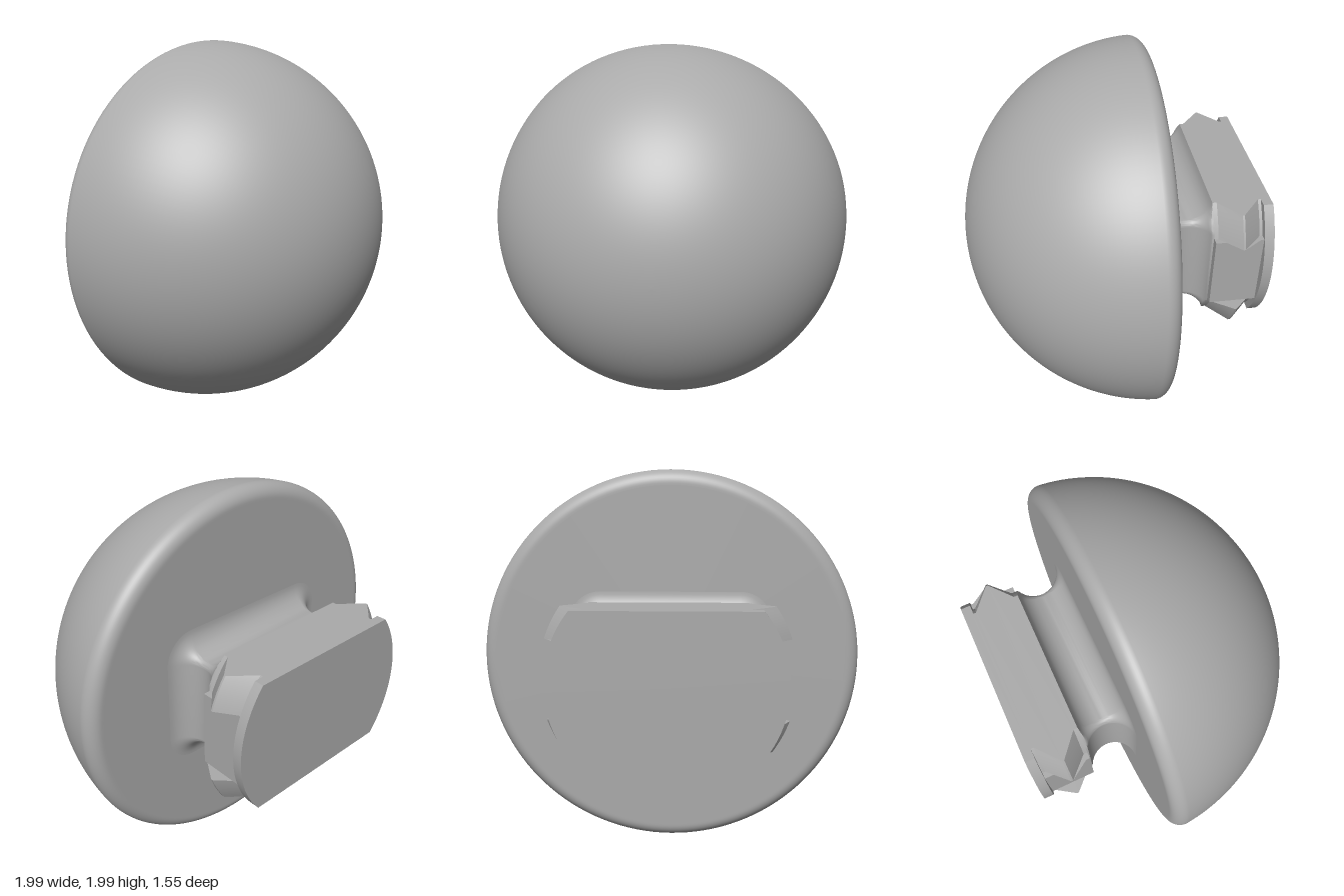
import * as THREE from 'three';
import { toCreasedNormals } from 'three/addons/utils/BufferGeometryUtils.js';

const BACK = -0.225;   // flat back of the dome
const HALF_Y = 0.355;  // half height of the locking block
const CORE = 0.527;    // radius of the block's rounded ends

// Skin a row of equal-length rings running towards -z
function loft(rings, crease) {
  const pos = [], index = [], n = rings[0].length;
  rings.forEach(r => r.forEach(p => pos.push(...p)));
  for (let i = 0; i < rings.length - 1; i++) {
    for (let j = 0; j < n; j++) {
      const k = (j + 1) % n;
      const a = i * n + j, b = i * n + k, c = a + n, d = b + n;
      index.push(a, c, b, b, c, d);
    }
  }
  const g = new THREE.BufferGeometry();
  g.setAttribute('position', new THREE.Float32BufferAttribute(pos, 3));
  g.setIndex(index);
  return toCreasedNormals(g, crease);
}

// Close both ends of a row of rings
function capped(rings) {
  const centre = r => r.map(p => [0, 0, p[2]]);
  return [centre(rings[0]), ...rings, centre(rings[rings.length - 1])];
}

// Circle of radius r cut flat at top and bottom; slotX replaces the middle of each end
function blockRing(r, z, slotX) {
  const half = [], steps = 8, slotY = 0.2;
  const arc = (from, to, n) => {
    for (let i = 0; i <= n; i++) {
      const y = from + (to - from) * i / n;
      half.push([Math.sqrt(r * r - y * y), y]);
    }
  };
  if (slotX) {
    arc(-HALF_Y, -slotY, steps);
    half.push([slotX, -slotY], [slotX, slotY]);
    arc(slotY, HALF_Y, steps);
  } else arc(-HALF_Y, HALF_Y, 32);
  return [...half.map(([x, y]) => [x, y, z]), ...half.map(([x, y]) => [-x, -y, z])];
}

// Rounded rectangle for the neck, grown outwards by d
function neckRing(d, z, fit) {
  const ring = [], r = 0.03, cx = 0.40 - r, cy = 0.25 - r, n = 12;
  [[1, 1], [-1, 1], [-1, -1], [1, -1]].forEach(([sx, sy], q) => {
    for (let i = 0; i <= n; i++) {
      const a = (q + i / n) * Math.PI / 2;
      let x = sx * cx + (r + d) * Math.cos(a);
      let y = sy * cy + (r + d) * Math.sin(a);
      if (fit) { // stay within the block's outline
        y = THREE.MathUtils.clamp(y, -HALF_Y, HALF_Y);
        const limit = Math.min(0.52, Math.sqrt(CORE * CORE - y * y));
        x = THREE.MathUtils.clamp(x, -limit, limit);
      }
      ring.push([x, y, z]);
    }
  });
  return ring;
}

export function createModel() {
  const model = new THREE.Group();
  model.name = 'domeKnob';
  const grey = new THREE.MeshStandardMaterial({ color: 0xaaaaaa });
  grey.name = 'grey';
  const add = (name, geometry) => {
    const mesh = new THREE.Mesh(geometry, grey);
    mesh.name = name;
    mesh.position.y = 1;
    model.add(mesh);
  };

  // Hemisphere with a rounded rim
  const fillet = 0.07, rimR = Math.sqrt((1 - fillet) ** 2 - fillet ** 2);
  const join = Math.asin(fillet / (1 - fillet));
  const profile = [new THREE.Vector2(0, BACK), new THREE.Vector2(rimR - 0.01, BACK)];
  for (let i = 0; i <= 12; i++) {
    const a = -Math.PI / 2 + (Math.PI / 2 + join) * i / 12;
    profile.push(new THREE.Vector2(rimR + fillet * Math.cos(a), BACK + fillet + fillet * Math.sin(a)));
  }
  for (let i = 1; i <= 48; i++) {
    const a = join + (Math.PI / 2 - join) * i / 48;
    profile.push(new THREE.Vector2(i === 48 ? 0 : Math.cos(a), BACK + Math.sin(a)));
  }
  add('dome', new THREE.LatheGeometry(profile, 128).rotateX(Math.PI / 2));

  // Waisted neck with a semicircular hollow all round
  const neck = [], hollow = 0.1275;
  for (let i = 0; i <= 24; i++) {
    const a = Math.PI * i / 24;
    neck.push(neckRing(hollow * (1 - Math.sin(a)), BACK - hollow * (1 - Math.cos(a)), i > 12));
  }
  add('neck', loft(neck, 0.7));

  // Locking block: V-shaped teeth at the corners, flat slot between them
  const block = [[CORE, -0.48], [CORE, -0.50], [0.62, -0.60], [0.62, -0.61], [CORE, -0.71], [CORE, -0.73]]
    .map(([r, z]) => blockRing(r, z, 0.52));
  add('lockingBlock', loft(capped(block), 0.4));

  // End flange
  const flange = [-0.725, -0.775].map(z => blockRing(0.565, z));
  add('endFlange', loft(capped(flange), 0.4));

  return model;
}
